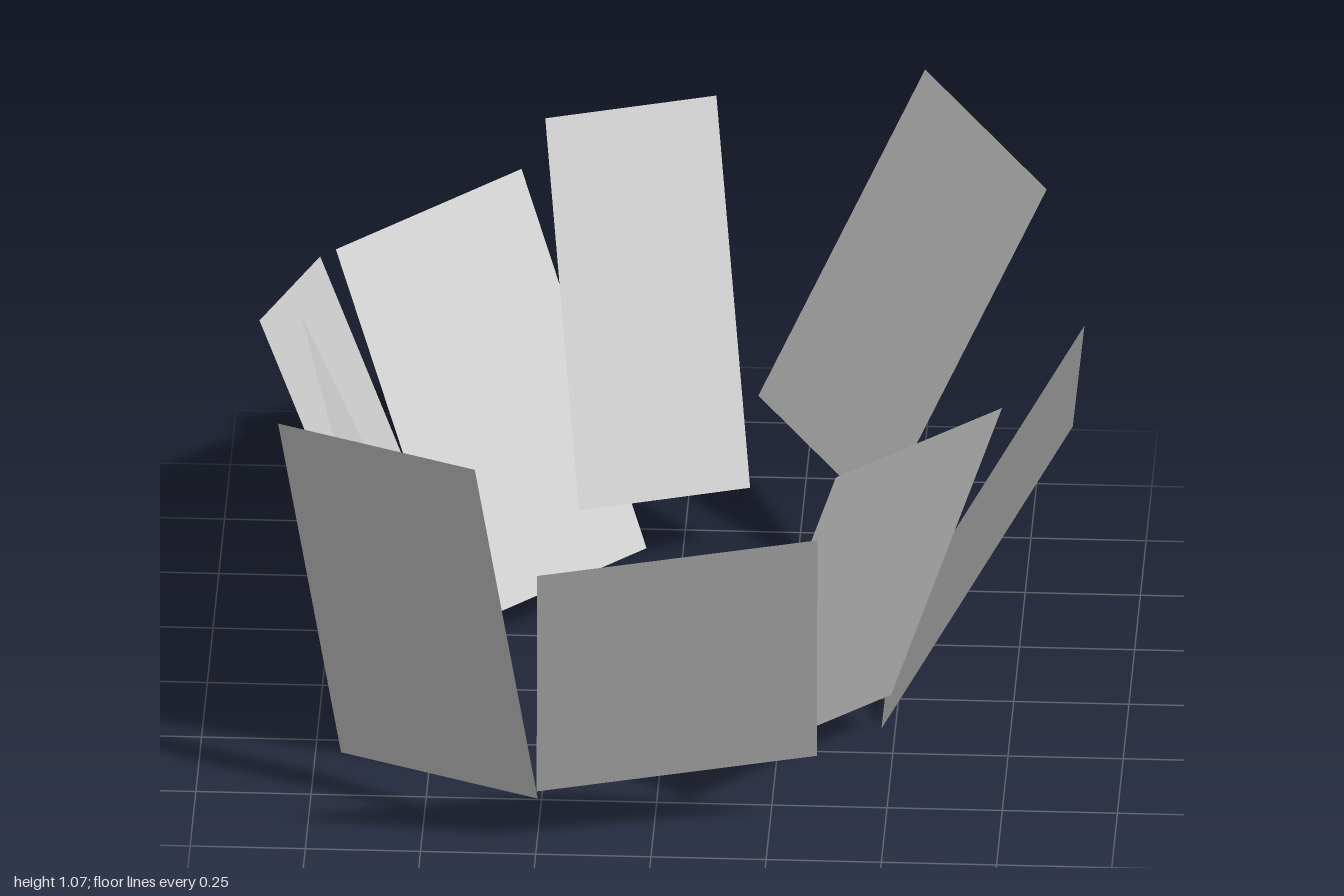
import * as THREE from 'three';

// Thin rectangular panels leaning outward in an open ring.
// Each: two top corners (left, right seen from outside) and the slope down from top to bottom edge.
const PANELS = [
  { name: 'rightHandFrontPanel', a: [-0.82, 0.93, 0.53], b: [-0.38, 0.97, 0.795], down: [0.132, -0.855, -0.093] },
  { name: 'frontPanel', a: [-0.235, 0.82, 0.995], b: [0.367, 0.855, 0.867], down: [-0.014, -0.673, -0.266] },
  { name: 'leftFrontPanel', a: [0.4, 0.932, 0.72], b: [0.742, 0.912, 0.347], down: [-0.25, -0.812, -0.186] },
  { name: 'leftPanel', a: [0.885, 0.758, 0.137], b: [0.887, 0.754, -0.333], down: [-0.415, -0.75, 0.01] },
  { name: 'leftBackPanel', a: [0.795, 0.978, -0.535], b: [0.513, 1.07, -0.9], down: [-0.358, -0.769, 0.08] },
  { name: 'backPanel', a: [0.055, 0.94, -1], b: [-0.302, 1.03, -0.71], down: [0.091, -0.771, 0.357] },
  { name: 'rightBackPanel', a: [-0.355, 0.888, -0.74], b: [-0.741, 0.862, -0.4], down: [0.285, -0.778, 0.275] },
  { name: 'rightRearPanel', a: [-0.78, 0.79, -0.5], b: [-0.887, 0.895, -0.005], down: [0.34, -0.76, 0.246] },
  { name: 'rightPanel', a: [-0.792, 0.966, 0.095], b: [-0.702, 0.926, 0.555], down: [0.31, -0.8, -0.131] },
];

const material = new THREE.MeshStandardMaterial({ color: 0xcccccc, side: THREE.DoubleSide, flatShading: true });

// A unit plane mapped onto the panel's own width, height and outward axes
function makePanel({ name, a, b, down }) {
  const left = new THREE.Vector3(...a);
  const right = new THREE.Vector3(...b);
  const drop = new THREE.Vector3(...down);
  const across = right.clone().sub(left);
  const up = drop.clone().negate();
  const outward = across.clone().cross(up).normalize();
  const center = left.add(right).add(drop).multiplyScalar(0.5);

  const geometry = new THREE.PlaneGeometry(1, 1);
  geometry.applyMatrix4(new THREE.Matrix4().makeBasis(across, up, outward).setPosition(center));
  const mesh = new THREE.Mesh(geometry, material);
  mesh.name = name;
  return mesh;
}

export function createModel() {
  const group = new THREE.Group();
  group.name = 'panelRing';
  for (const panel of PANELS) group.add(makePanel(panel));
  return group;
}
